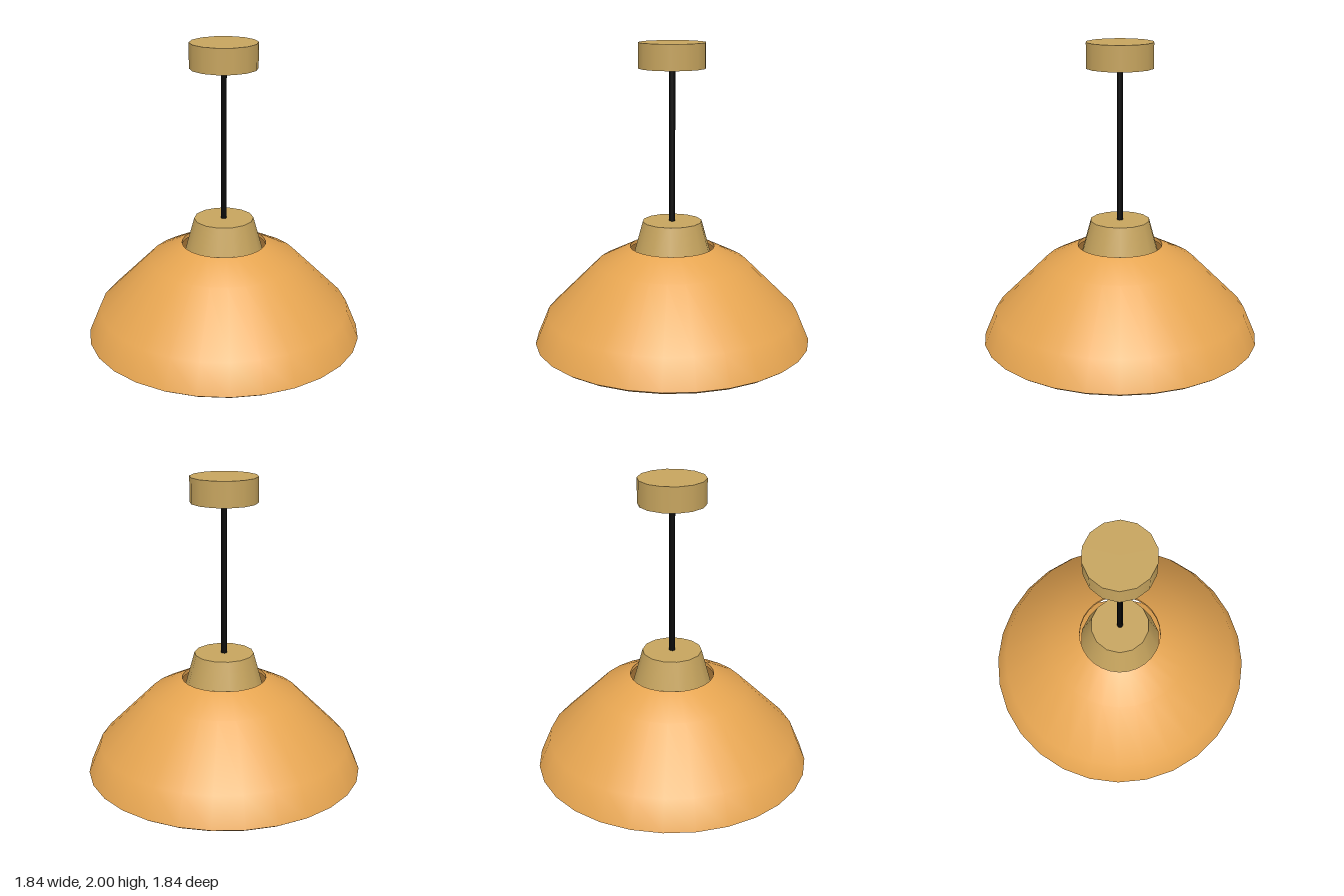
import * as THREE from 'three';

export function createModel() {
  const model = new THREE.Group();
  model.name = 'pendantLamp';

  const amber = new THREE.MeshStandardMaterial({ name: 'amber shade', color: 0xe6a551 });
  const brass = new THREE.MeshStandardMaterial({ name: 'pale brass', color: 0xc6a45e });
  const black = new THREE.MeshStandardMaterial({ name: 'black cord', color: 0x080808 });

  const add = (parent, name, geometry, material) => {
    const mesh = new THREE.Mesh(geometry, material);
    mesh.name = name;
    parent.add(mesh);
    return mesh;
  };

  // Upright round part between two heights, with a corner on the x axis
  const round = (name, rTop, rBottom, y0, y1, sides, material) => {
    const geometry = new THREE.CylinderGeometry(rTop, rBottom, y1 - y0, sides);
    geometry.rotateY(Math.PI / 2);
    geometry.translate(0, (y0 + y1) / 2, 0);
    return add(model, name, geometry, material);
  };

  // Ceiling rose, cord and collar
  round('ceilingRose', 0.22, 0.22, 1.835, 2, 14, brass);
  round('cord', 0.02, 0.02, 0.8, 1.85, 8, black);
  round('collar', 0.197, 0.277, 0.54, 0.83, 14, brass);

  // Flat diffuser on a short neck inside the shade
  round('diffuser', 0.3, 0.39, 0.32, 0.36, 14, amber);
  round('diffuserNeck', 0.1, 0.1, 0.35, 0.55, 14, amber);

  // Hollow shade: separate skins keep the rim edges sharp
  const shade = new THREE.Group();
  shade.name = 'shade';
  model.add(shade);
  const skin = (name, profile) => {
    const points = profile.map(([r, y]) => new THREE.Vector2(r, y));
    add(shade, name, new THREE.LatheGeometry(points, 28), amber);
  };
  skin('shadeOutside', [[0.92, 0.02], [0.84, 0.21], [0.5, 0.55], [0.28, 0.66]]);
  skin('shadeInside', [[0.28, 0.635], [0.485, 0.53], [0.815, 0.2], [0.89, 0]]);
  skin('shadeRim', [[0.89, 0], [0.92, 0.02]]);
  skin('shadeOpening', [[0.28, 0.66], [0.28, 0.635]]);

  return model;
}
